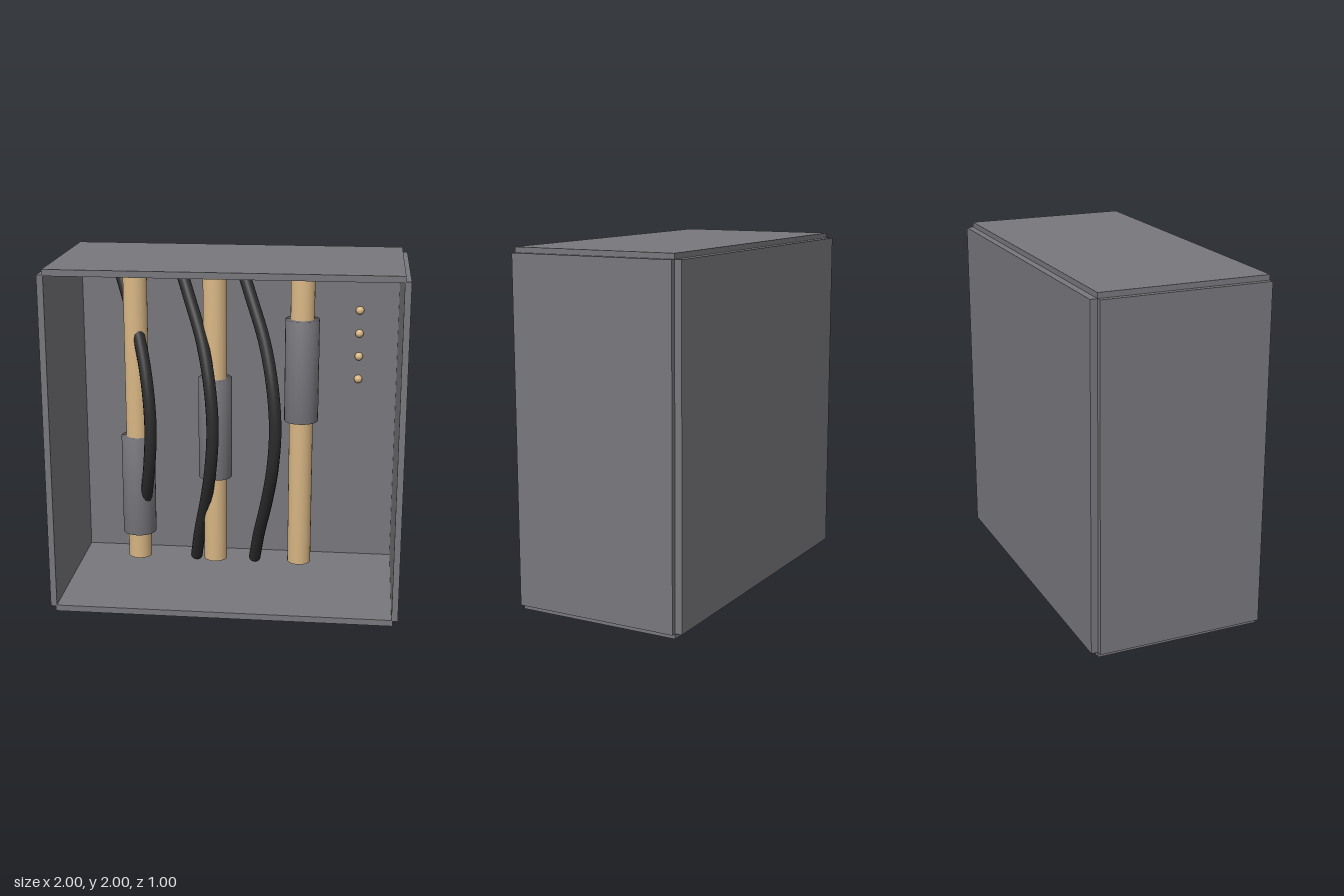
import * as THREE from 'three';

export function createModel() {
  const model = new THREE.Group();
  const material = (name, color) => {
    const m = new THREE.MeshStandardMaterial({ color });
    m.name = name;
    return m;
  };
  const grey = material('casing grey', 0x78777c);
  const tan = material('pale wood', 0xd8b684);
  const black = material('cable black', 0x2c2c2c);

  const add = (name, geometry, mat, x = 0, y = 0, z = 0, parent = model) => {
    const mesh = new THREE.Mesh(geometry, mat);
    mesh.name = name;
    mesh.position.set(x, y, z);
    parent.add(mesh);
    return mesh;
  };

  // Open-fronted casing, with panels stepped at the corners
  const depth = 0.96, t = 0.036;
  const lid = new THREE.BoxGeometry(1.94, t, depth);
  add('topPanel', lid, grey, 0, 2 - t / 2, 0.02);
  add('bottomPanel', lid, grey, 0, t / 2, 0.02);
  const side = new THREE.BoxGeometry(t, 1.94, depth);
  add('leftPanel', side, grey, 1 - t / 2, 1, 0.02);
  add('rightPanel', side, grey, -1 + t / 2, 1, 0.02);
  add('backPanel', new THREE.BoxGeometry(1.94, 1.94, 0.04), grey, 0, 1, -0.48);

  // Closed cylinder with soft rims, standing on its base
  const softCylinder = (r, h) => new THREE.LatheGeometry(
    [[0, 0], [r, 0], [r, h], [0, h]].map(([x, y]) => new THREE.Vector2(x, y)), 24);

  // Sliders: a rod with a sleeve at its own height
  const rod = softCylinder(0.07, 1.75);
  const sleeve = softCylinder(0.1, 0.61);
  [[-0.572, 0.29], [-0.105, 0.66], [0.405, 1.025]].forEach(([x, y]) => {
    const slider = new THREE.Group();
    slider.name = 'slider';
    model.add(slider);
    add('rod', rod, tan, x, 0.13, -0.09, slider);
    add('sleeve', sleeve, grey, x, y, -0.09, slider);
  });

  // Bowed cables, bulging to the front and to the left
  const path = new THREE.CatmullRomCurve3([
    [0.02, 1.94, -0.27], [0.1, 1.74, -0.16], [0.19, 1.5, -0.04],
    [0.245, 1.25, 0.05], [0.265, 1, 0.08], [0.248, 0.75, 0.05],
    [0.205, 0.5, -0.05], [0.155, 0.27, -0.16], [0.12, 0.065, -0.26],
  ].map((p) => new THREE.Vector3(...p)));
  const radius = 0.036;
  const tube = new THREE.TubeGeometry(path, 40, radius, 12);
  const cap = new THREE.CircleGeometry(radius, 12);
  [-0.732, -0.366, 0].forEach((x) => {
    const cable = new THREE.Group();
    cable.name = 'cable';
    cable.position.x = x;
    model.add(cable);
    add('cableTube', tube, black, 0, 0, 0, cable);
    [0, 1].forEach((u) => {
      const p = path.getPointAt(u);
      const outward = path.getTangentAt(u).multiplyScalar(u ? 1 : -1);
      add('cableEnd', cap, black, p.x, p.y, p.z, cable)
        .quaternion.setFromUnitVectors(new THREE.Vector3(0, 0, 1), outward);
    });
  });

  // Column of studs on the back wall
  const stud = new THREE.SphereGeometry(0.025, 16, 12);
  for (let i = 0; i < 4; i++) add('stud', stud, tan, 0.732, 1.615 - i * 0.142, -0.45);

  return model;
}
